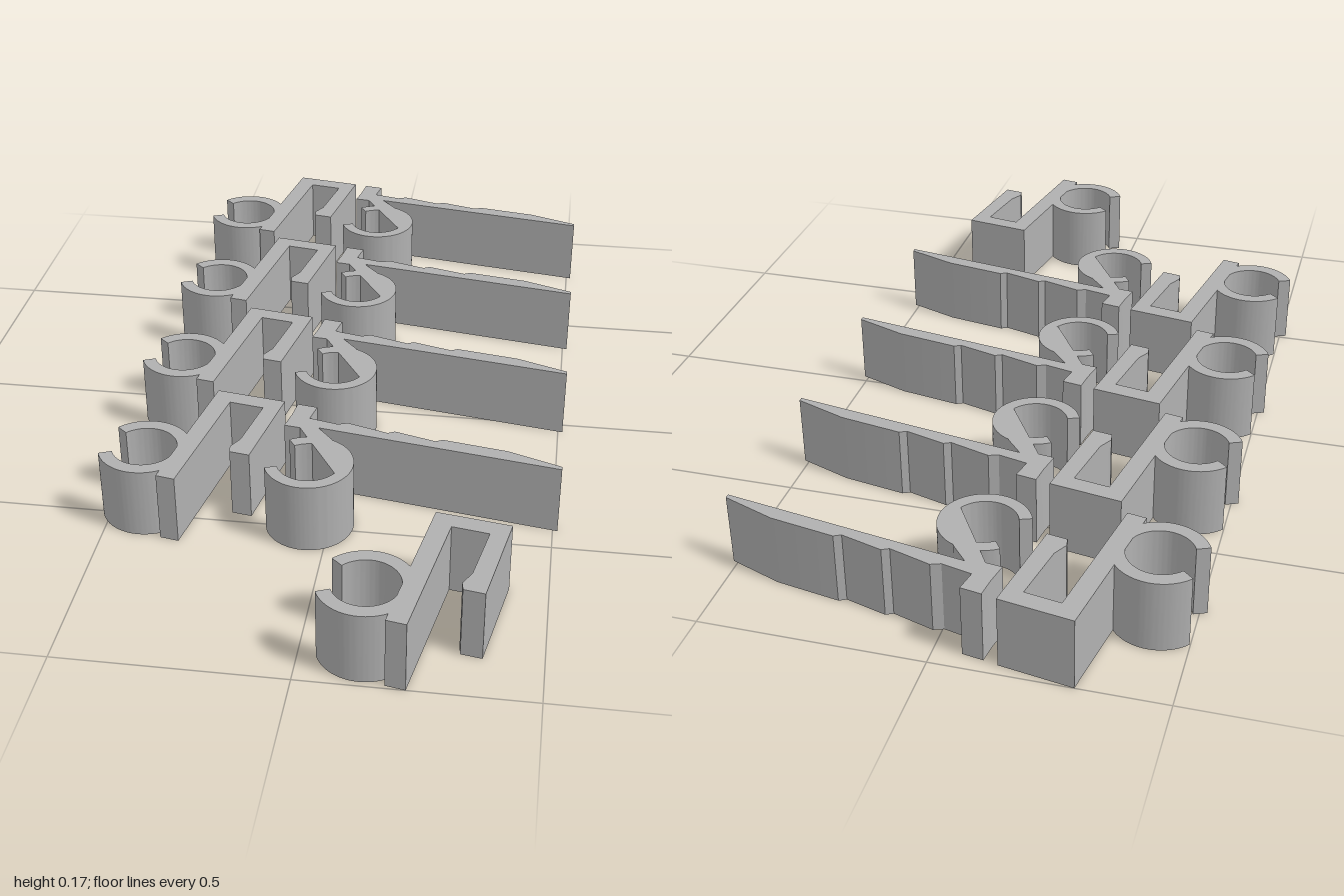
import * as THREE from 'three';
import { toCreasedNormals } from 'three/addons/utils/BufferGeometryUtils.js';

const HEIGHT = 0.168;

// Extrude a plan drawn in (x, z) upward from the ground
function extrudePlan(shape) {
  const g = new THREE.ExtrudeGeometry(shape, { depth: HEIGHT, bevelEnabled: false, curveSegments: 48 });
  g.rotateX(Math.PI / 2);
  g.translate(0, HEIGHT, 0);
  return toCreasedNormals(g, 0.35);
}

function polygon(points) {
  return extrudePlan(new THREE.Shape(points.map(([x, z]) => new THREE.Vector2(x, z))));
}

// Open C-shaped ring between two angles
function openRing(x, z, outer, inner, start, end) {
  const s = new THREE.Shape();
  s.absarc(x, z, outer, start, end, false);
  s.absarc(x, z, inner, end, start, true);
  s.closePath();
  return extrudePlan(s);
}

export function createModel() {
  const model = new THREE.Group();
  model.name = 'clipSet';
  const grey = new THREE.MeshStandardMaterial({ color: 0xb0b0b0 });
  grey.name = 'grey plastic';

  // Square hook with a small catch on its short leg
  const hookGeo = polygon([
    [-0.304, -1], [-0.14, -0.973], [-0.181, -0.743], [-0.227, -0.751], [-0.23, -0.772],
    [-0.212, -0.804], [-0.186, -0.939], [-0.267, -0.953], [-0.325, -0.63], [-0.368, -0.638],
  ]);
  const hookRingGeo = openRing(-0.42, -0.746, 0.104, 0.073, 3.86, 9.03);

  // Toothed wedge arm, its end block and the slanted web reaching into the ring
  const armGeo = polygon([
    [-0.108, -0.966], [-0.061, -0.958], [-0.071, -0.91], [-0.003, -0.894], [0.019, -0.902],
    [0.114, -0.873], [0.13, -0.881], [0.225, -0.854], [0.241, -0.862], [0.389, -0.836],
    [0.511, -0.791], [0.511, -0.78], [-0.045, -0.873], [-0.008, -0.831], [0.04, -0.74],
    [0.019, -0.698], [-0.087, -0.868], [-0.124, -0.873], [-0.114, -0.921],
  ]);
  const armRingGeo = openRing(-0.045, -0.735, 0.1, 0.072, 4.1, 9.07);

  function addPart(name, parts, x, z) {
    const group = new THREE.Group();
    group.name = name;
    for (const [partName, geo] of parts) {
      const mesh = new THREE.Mesh(geo, grey);
      mesh.name = partName;
      group.add(mesh);
    }
    group.position.set(x, 0, z);
    model.add(group);
  }

  const hookParts = [['squareHook', hookGeo], ['hookRing', hookRingGeo]];
  const armParts = [['wedgeArm', armGeo], ['armRing', armRingGeo]];

  // Four pairs in a row, and one spare hook at the front
  for (let i = 0; i < 4; i++) {
    addPart('hookClip', hookParts, 0, i * 0.406);
    addPart('wedgeClip', armParts, 0, i * 0.406);
  }
  addPart('spareHookClip', hookParts, 0.555, 1.63);
  return model;
}
